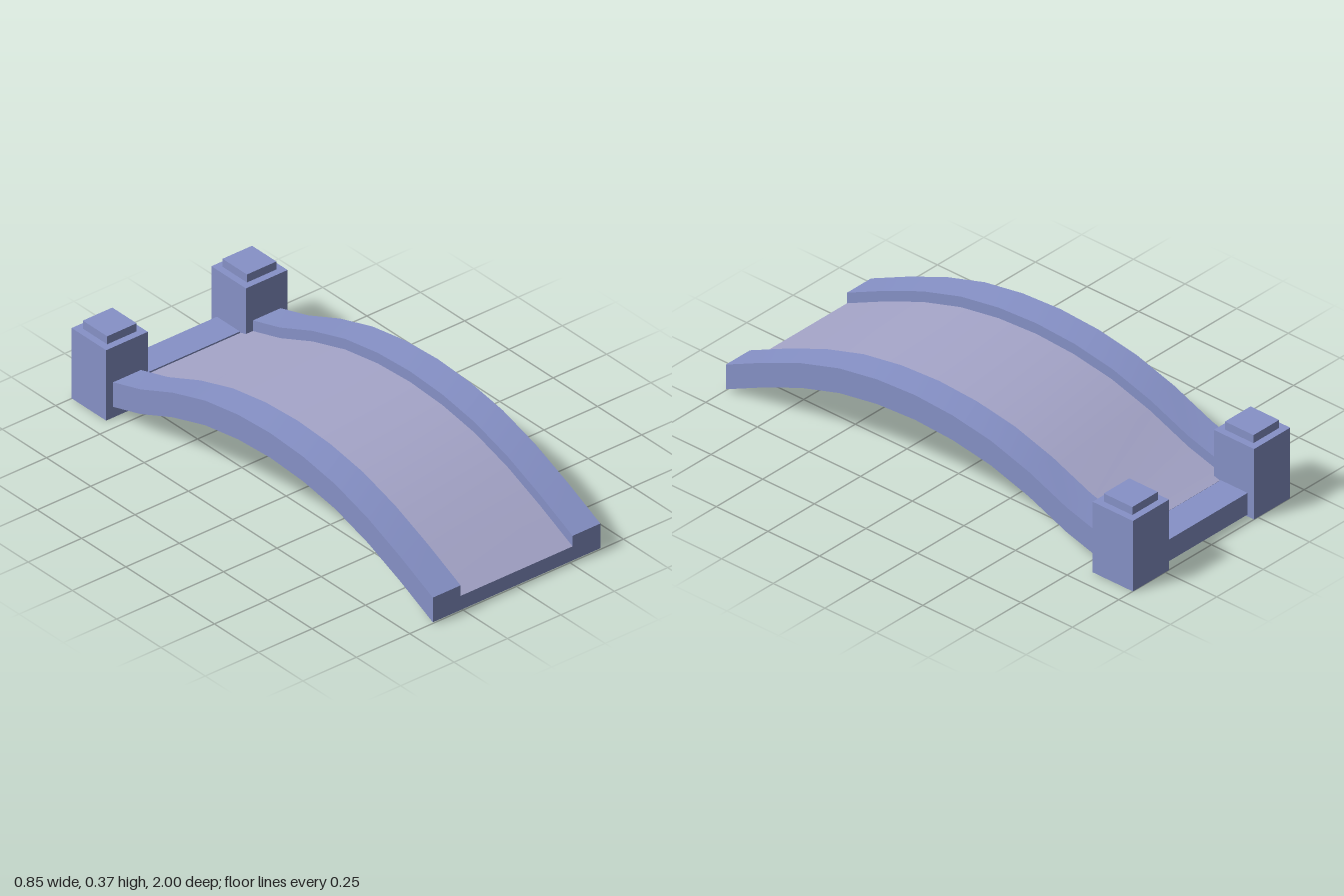
import * as THREE from 'three';

const blue = new THREE.MeshStandardMaterial({ color: 0x8792c8 });
const pale = new THREE.MeshStandardMaterial({ color: 0xa6a6ca });

// Underside height of the arch at even steps from front to back
const heights = [0.005, 0.09, 0.165, 0.22, 0.25, 0.26, 0.25, 0.22, 0.165, 0.09, 0.037];
const zFront = 1, zBack = -0.835;
const zAt = k => zFront + (zBack - zFront) * k / (heights.length - 1);

// U-shaped cross-section, counter-clockwise: rails on both sides of a sunken deck
const W = 0.392, I = 0.262, T = 0.105, D = 0.06;
const section = [[-W, 0], [W, 0], [W, T], [I, T], [I, D], [-I, D], [-I, T], [-W, T]];
const DECK_EDGE = 4;

// Sweeps one edge of the section along the arch: smooth lengthwise, crisp at its sides
function strip(a, b) {
  const pos = [], idx = [];
  heights.forEach((h, k) => {
    pos.push(a[0], a[1] + h, zAt(k), b[0], b[1] + h, zAt(k));
    if (k) {
      const n = 2 * k - 2;
      idx.push(n, n + 2, n + 1, n + 1, n + 2, n + 3);
    }
  });
  const g = new THREE.BufferGeometry();
  g.setAttribute('position', new THREE.Float32BufferAttribute(pos, 3));
  g.setIndex(idx);
  g.computeVertexNormals();
  return g;
}

function add(parent, name, geometry, material, x = 0, y = 0, z = 0) {
  const mesh = new THREE.Mesh(geometry, material);
  mesh.name = name;
  mesh.position.set(x, y, z);
  parent.add(mesh);
  return mesh;
}

export function createModel() {
  const model = new THREE.Group();
  model.name = 'archedBridge';

  // Arched span with raised side rails
  const span = new THREE.Group();
  span.name = 'span';
  model.add(span);
  const names = ['underside', 'railOuterLeft', 'railTopLeft', 'railInnerLeft',
    'deck', 'railInnerRight', 'railTopRight', 'railOuterRight'];
  section.forEach((p, i) => {
    const q = section[(i + 1) % section.length];
    add(span, names[i], strip(p, q), i === DECK_EDGE ? pale : blue);
  });

  // End faces of the span
  const face = new THREE.ShapeGeometry(new THREE.Shape(section.map(p => new THREE.Vector2(...p))));
  add(span, 'frontEnd', face, blue, 0, heights[0], zFront);
  add(span, 'backEnd', face, blue, 0, heights[heights.length - 1], zBack).rotation.y = Math.PI;

  // Threshold between the posts
  add(model, 'threshold', new THREE.BoxGeometry(0.48, 0.092, 0.13), blue, 0, 0.054, -0.904);

  // Square posts with caps
  for (const side of [-1, 1]) {
    const post = new THREE.Group();
    post.name = side > 0 ? 'leftPost' : 'rightPost';
    post.position.set(side * 0.327, 0, -0.903);
    add(post, 'postBody', new THREE.BoxGeometry(0.195, 0.3, 0.195), blue, 0, 0.15, 0);
    add(post, 'postCap', new THREE.BoxGeometry(0.138, 0.034, 0.138), blue, 0, 0.317, 0);
    model.add(post);
  }
  return model;
}
